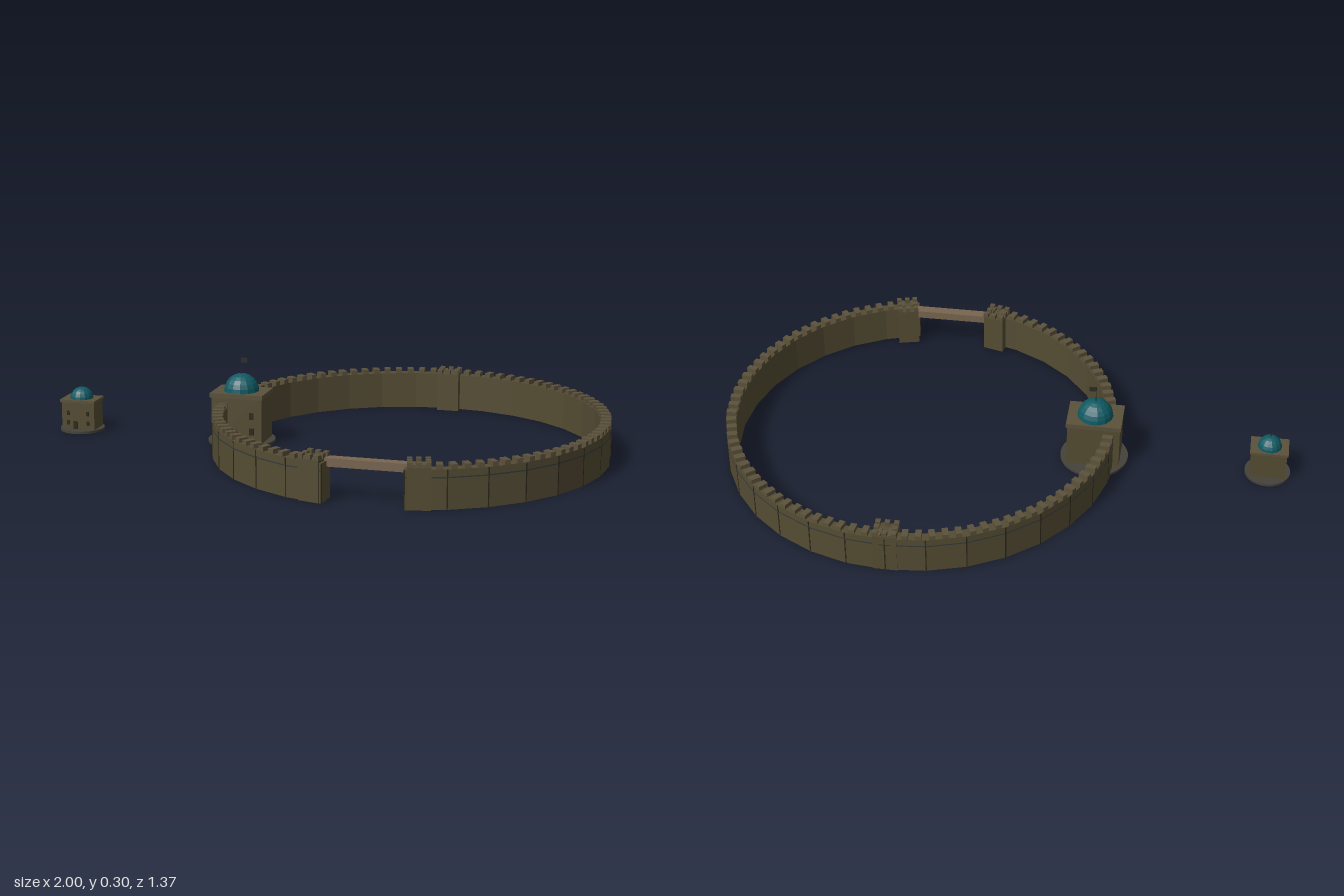
import * as THREE from 'three';

const paint = (name, color, extra = {}) => {
  const m = new THREE.MeshStandardMaterial({ color, ...extra });
  m.name = name;
  return m;
};

export function createModel() {
  const stone = paint('olive stone', 0x544c33);
  const cap = paint('merlon stone', 0x5c523b);
  const teal = paint('teal dome', 0x0f5a63, { flatShading: true });
  const timber = paint('gate timber', 0x78654f);
  const paving = paint('grey paving', 0x45423a);
  const band = paint('blue grey band', 0x33393a);
  const joint = paint('dark joint', 0x2c281a);
  const iron = paint('dark iron', 0x2b2b2b, { side: THREE.DoubleSide });

  const model = new THREE.Group();
  model.name = 'walledCity';

  const add = (parent, name, geo, mat, x = 0, y = 0, z = 0, ry = 0) => {
    const m = new THREE.Mesh(geo, mat);
    m.name = name;
    m.position.set(x, y, z);
    m.rotation.y = ry;
    parent.add(m);
    return m;
  };
  const box = (w, h, d) => new THREE.BoxGeometry(w, h, d);
  const group = (parent, name, x = 0, z = 0, ry = 0) => {
    const g = new THREE.Group();
    g.name = name;
    g.position.set(x, 0, z);
    g.rotation.y = ry;
    parent.add(g);
    return g;
  };

  // City wall: 32-sided ring with the two front segments left open
  const R = 0.692, T = 0.036, H = 0.132, N = 32, STEP = (Math.PI * 2) / N;
  const START = -Math.PI / 2 + STEP, SEGS = N - 2;
  const wall = group(model, 'cityWall', 0.308, 0);

  const ring = (outer, inner, height) => {
    const pts = [];
    for (let i = 0; i <= SEGS; i++) {
      const a = START + i * STEP;
      pts.push(new THREE.Vector2(Math.cos(a) * outer, Math.sin(a) * outer));
    }
    for (let i = SEGS; i >= 0; i--) {
      const a = START + i * STEP;
      pts.push(new THREE.Vector2(Math.cos(a) * inner, Math.sin(a) * inner));
    }
    return new THREE.ExtrudeGeometry(new THREE.Shape(pts), { depth: height, bevelEnabled: false })
      .rotateX(-Math.PI / 2);
  };
  add(wall, 'wallRing', ring(R, R - T, H), stone);
  add(wall, 'wallBand', ring(R + 0.001, R - 0.004, 0.004), band, 0, 0.104, 0);

  // Joints between segments, three merlons on each segment
  const apothem = R * Math.cos(STEP / 2) - T / 2;
  const chord = 2 * apothem * Math.tan(STEP / 2);
  const merlonGeo = box(T, 0.016, 0.021);
  const jointGeo = box(0.003, H, 0.004);
  for (let i = 0; i <= SEGS; i++) {
    const a = START + i * STEP;
    add(wall, 'wallJoint', jointGeo, joint, Math.cos(a) * R * 0.9995, H / 2, -Math.sin(a) * R * 0.9995, a);
    if (i === SEGS) break;
    const seg = group(wall, 'merlons', 0, 0, a + STEP / 2);
    for (let k = -1; k <= 1; k++)
      add(seg, 'merlon', merlonGeo, cap, apothem, H + 0.008, (k * chord) / 3);
  }

  // Square wall towers with merlons around the rim
  const tower = (name, x, z, w, d, ry) => {
    const g = group(wall, name, x, z, ry);
    add(g, 'towerBody', box(w, 0.14, d), stone, 0, 0.07, 0);
    for (let i = -1; i <= 1; i++)
      for (let j = -1; j <= 1; j++)
        if (i || j)
          add(g, 'towerMerlon', box(0.017, 0.016, 0.017), cap,
            i * (w / 2 - 0.0085), 0.148, j * (d / 2 - 0.0085));
  };
  for (const s of [-1, 1])
    tower(s < 0 ? 'rightGateTower' : 'leftGateTower', s * 0.172, 0.634, 0.076, 0.076, s * 0.25);
  tower('backTower', 0, -0.655, 0.08, 0.072, 0);

  // Beam across the open gate
  add(wall, 'gateBeam', box(0.28, 0.028, 0.036), timber, 0, 0.127, 0.625);

  // Domed hall on a round paved base
  const hall = (name, x, z, o) => {
    const g = group(model, name, x, z);
    add(g, 'roundBase', new THREE.CylinderGeometry(o.base, o.base, 0.009, 32), paving, 0, 0.0045, 0);
    add(g, 'hallBody', box(o.w, o.h, o.d), stone, 0, o.h / 2, 0);
    add(g, 'cornice', box(o.w + 0.008, o.lip, o.d + 0.012), cap, 0, o.h - o.lip / 2 + 0.001, 0);
    add(g, 'dome', new THREE.SphereGeometry(o.r, 14, 6, 0, Math.PI * 2, 0, Math.PI / 2), teal, 0, o.h, 0);
    add(g, 'pole', new THREE.CylinderGeometry(0.0015, 0.0015, o.pole, 6), iron, 0, o.h + o.r + o.pole / 2 - 0.002, 0);
    // Door and two rows of windows on the front
    const front = o.d / 2 + 0.001, s = o.h / 0.18;
    add(g, 'door', box(0.024 * s, 0.045 * s, 0.004), joint, -0.01, 0.009 + 0.0225 * s, front);
    for (const sx of [-1, 1])
      for (const y of [0.05, 0.105])
        add(g, 'window', box(0.016 * s, 0.024 * s, 0.004), joint, sx * o.w * 0.3, y * s, front);
    return g;
  };
  const main = hall('mainHall', -0.308, 0.006,
    { base: 0.12, w: 0.185, d: 0.124, h: 0.183, lip: 0.016, r: 0.063, pole: 0.06 });
  add(main, 'flag', box(0.024, 0.018, 0.002), iron, 0.012, 0.294, 0);
  hall('smallHall', -0.92, 0.004,
    { base: 0.08, w: 0.125, d: 0.082, h: 0.116, lip: 0.009, r: 0.042, pole: 0.011 });

  return model;
}
